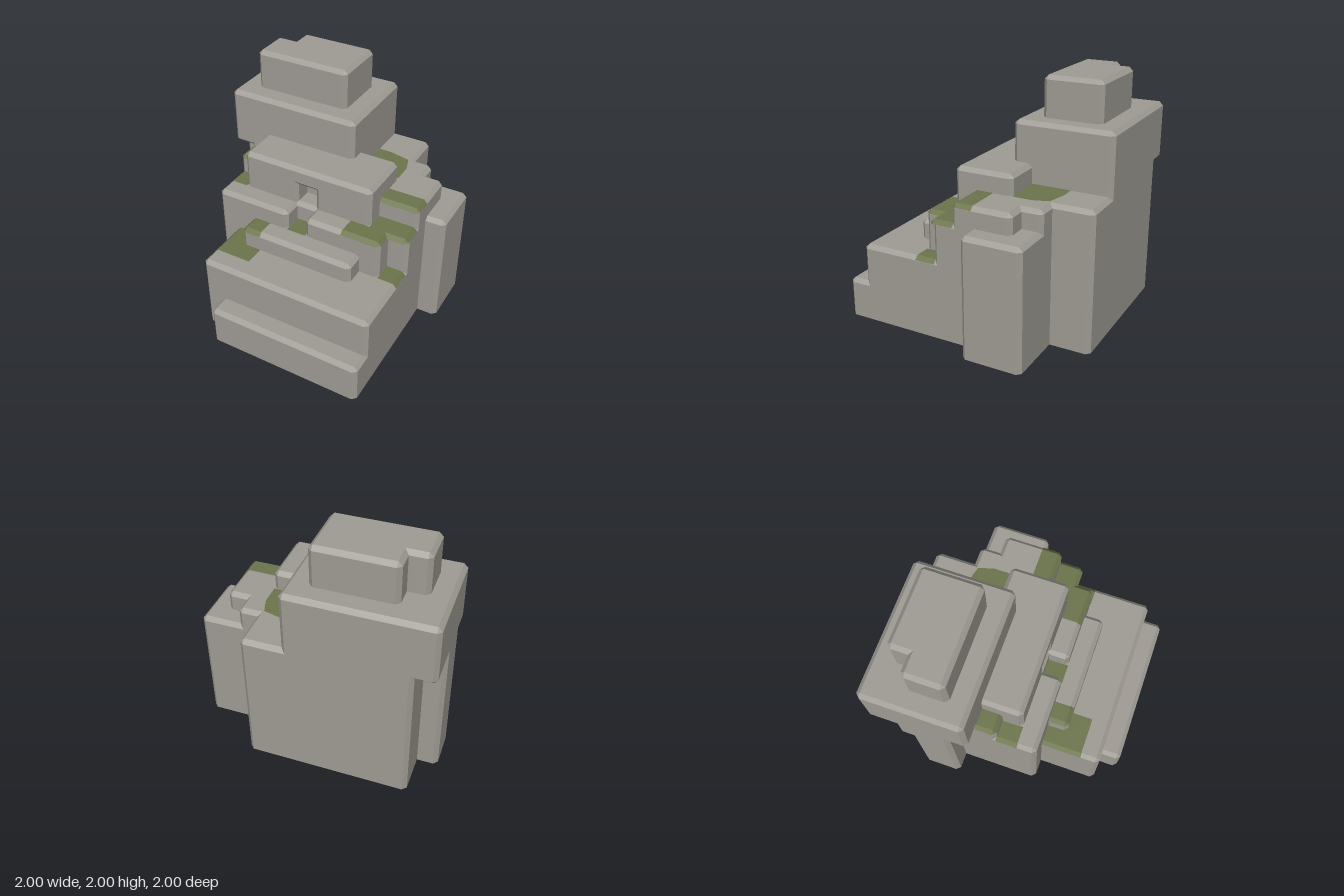
import * as THREE from 'three';

const U = 1 / 6;      // one block of the grid
const C = 0.2;        // chamfer, in blocks
const stone = new THREE.MeshStandardMaterial({ color: 0xa09c95, flatShading: true });
const moss = new THREE.MeshStandardMaterial({ color: 0x6c754c, flatShading: true });

const rect = (x0, x1, z0, z1) => [[x0, z0], [x1, z0], [x1, z1], [x0, z1]];

// Right-angled footprint raised from y0 to y1, chamfered on every outer edge.
function tierGeometry(outline, y0, y1, bevelBottom = false) {
  const n = outline.length, wall = [], cap = [];
  outline.forEach((p, i) => {
    const a = outline[(i + n - 1) % n], b = outline[(i + 1) % n];
    const unit = (s, t) => {
      const l = Math.hypot(t[0] - s[0], t[1] - s[1]);
      return [(t[0] - s[0]) / l, (t[1] - s[1]) / l];
    };
    const d = unit(a, p), e = unit(p, b);
    const k = d[0] * e[1] - d[1] * e[0] > 0 ? C : 0;   // only convex corners are cut
    wall.push([p[0] - d[0] * k, p[1] - d[1] * k], [p[0] + e[0] * k, p[1] + e[1] * k]);
    const inset = [p[0] - (d[1] + e[1]) * C, p[1] + (d[0] + e[0]) * C];
    cap.push(inset, inset);
  });

  const rings = bevelBottom ? [[cap, y0], [wall, y0 + C]] : [[wall, y0]];
  rings.push([wall, y1 - C], [cap, y1]);
  const pos = [];
  const put = (p, y) => pos.push(p[0] * U, y * U, p[1] * U);
  const same = (p, q) => p[0] === q[0] && p[1] === q[1];
  for (let r = 0; r + 1 < rings.length; r++) {
    const [lo, ya] = rings[r], [hi, yb] = rings[r + 1];
    if (yb - ya < 1e-6) continue;
    for (let i = 0; i < 2 * n; i++) {
      const j = (i + 1) % (2 * n);
      if (!same(hi[i], hi[j])) { put(lo[i], ya); put(hi[i], yb); put(hi[j], yb); }
      if (!same(lo[i], lo[j])) { put(lo[i], ya); put(hi[j], yb); put(lo[j], ya); }
    }
  }
  // Flat lids at both ends
  for (const [[ring, y], up] of [[rings[0], false], [rings[rings.length - 1], true]]) {
    const pts = ring.filter((p, i) => !same(p, ring[(i + 1) % ring.length]))
      .map(p => new THREE.Vector2(p[0], p[1]));
    for (const [a, b, c] of THREE.ShapeUtils.triangulateShape(pts, [])) {
      const ccw = THREE.ShapeUtils.area([pts[a], pts[b], pts[c]]) > 0;
      for (const k of ccw === up ? [a, c, b] : [a, b, c]) put([pts[k].x, pts[k].y], y);
    }
  }
  const g = new THREE.BufferGeometry();
  g.setAttribute('position', new THREE.Float32BufferAttribute(pos, 3));
  g.computeVertexNormals();
  return g;
}

export function createModel() {
  const model = new THREE.Group();
  model.name = 'steppedRock';
  const add = (name, geometry, material = stone) => {
    const m = new THREE.Mesh(geometry, material);
    m.name = name;
    model.add(m);
  };

  // Front steps
  add('lowestStep', tierGeometry(rect(-3, 5, 0, 6), 0, 2));
  add('broadStep', tierGeometry(rect(-4, 5, 0, 5), 0, 4));
  add('narrowStep', tierGeometry(rect(-3, 3, -1, 3), 0, 5));

  // Main body with side buttress and entrance notch
  add('mainTerrace', tierGeometry([
    [-5, -6], [3, -6], [3, -4], [6, -4], [6, -1], [5, -1], [5, 1], [4, 1],
    [4, 2], [0, 2], [0, 1], [-1, 1], [-1, 2], [-5, 2]], 0, 6));
  add('upperTerrace', tierGeometry([
    [-5, -6], [3, -6], [3, -4], [4, -4], [4, -3], [5, -3], [5, 0], [-5, 0]], 0, 7));

  // Doorway: two piers and a lintel
  add('rightPier', tierGeometry(rect(-4, -1, -2, 1), 0, 7.5));
  add('leftPier', tierGeometry(rect(0, 3, -2, 1), 0, 7.5));
  add('lintel', tierGeometry(rect(-4, 3, -2, 1), 7, 8, true));

  // Overhanging upper block, its core and supporting column
  add('core', tierGeometry(rect(-5, 1, -6, -1), 0, 8));
  add('sideColumn', tierGeometry(rect(-6, -4, -4, -2), 0, 8));
  add('overhangBlock', tierGeometry(rect(-6, 1, -6, -1), 7, 10, true));
  add('summit', tierGeometry([
    [-4, -5], [0, -5], [0, -2], [-5, -2], [-5, -4], [-4, -4]], 9, 12));

  // Moss: [x0, x1, z0, z1, height, edges lying on a chamfered rim]
  const e = 0.015;
  const patches = [
    [3, 5, -1, 0, 7, 'x1 z1'], [-5, -4, -1, 0, 7, 'x0 z1'],
    [2, 4, 1, 2, 6, 'x1 z1'], [3, 5, 0, 1, 6, 'x1'],
    [-5, -4, 0, 1, 6, 'x0'], [-1, 0, 1, 2, 5, ''],
    [-3, -2, 2, 3, 5, 'x0 z1'], [-4, -2, 2, 4, 4, 'x0'],
    [4, 4.8, 1, 2, 4, ''],
  ];
  for (const [x0, x1, z0, z1, y, rim] of patches) {
    const grow = side => (rim.includes(side) ? e : C);
    add('mossPatch', tierGeometry(rect(
      x0 - grow('x0'), x1 + grow('x1'), z0 - grow('z0'), z1 + grow('z1')),
    y - C + e, y + e), moss);
  }

  // Moss on the back terrace, with one worn corner
  const worn = new THREE.Shape([[1, 4], [1, 2], [3, 2], [3, 3], [2.75, 3.75], [1.7, 4]]
    .map(([x, z]) => new THREE.Vector2(x * U, z * U)));
  add('wornMossPatch', new THREE.ShapeGeometry(worn).rotateX(-Math.PI / 2)
    .translate(0, (7 + e) * U, 0), moss);
  return model;
}
